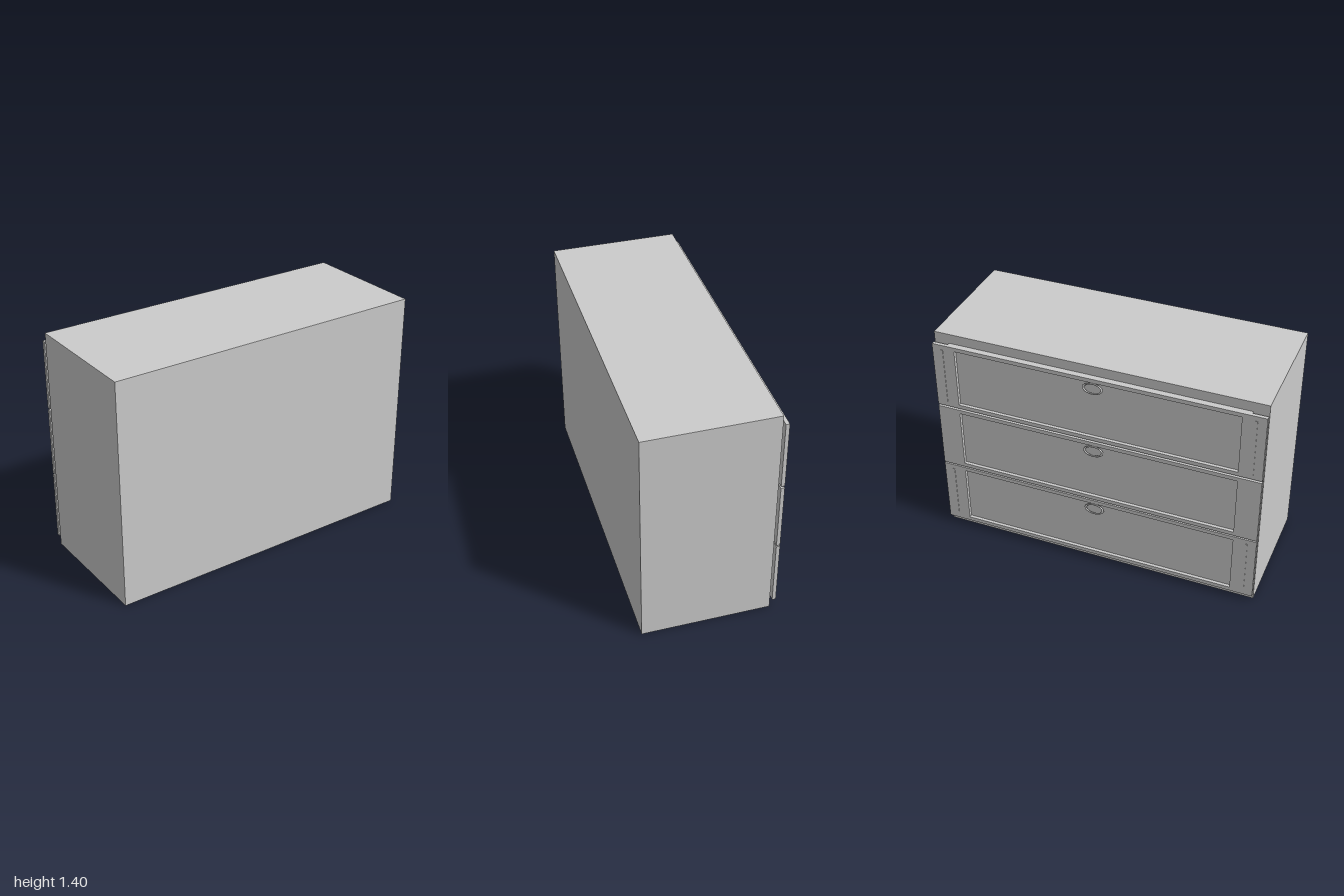
import * as THREE from 'three';

const material = new THREE.MeshStandardMaterial({ color: 0xcccccc });

function box(name, w, h, d, x, y, z) {
  const mesh = new THREE.Mesh(new THREE.BoxGeometry(w, h, d), material);
  mesh.name = name;
  mesh.position.set(x, y, z);
  return mesh;
}

function rectangle(target, x0, y0, x1, y1) {
  target.moveTo(x0, y0);
  target.lineTo(x1, y0);
  target.lineTo(x1, y1);
  target.lineTo(x0, y1);
  target.closePath();
  return target;
}

// Oval ring pull hanging slightly outwards from a small post
function createPull() {
  const pull = new THREE.Group();
  pull.name = 'ringPull';
  const ring = new THREE.Mesh(new THREE.TorusGeometry(0.055, 0.007, 8, 32), material);
  ring.name = 'ring';
  ring.scale.set(1, 0.56, 0.8);
  ring.rotation.x = 0.12;
  ring.position.z = -0.404;
  const post = new THREE.Mesh(new THREE.CylinderGeometry(0.007, 0.007, 0.025, 10), material);
  post.name = 'post';
  post.rotation.x = Math.PI / 2;
  post.position.set(0, 0.031, -0.39);
  pull.add(ring, post);
  return pull;
}

// Framed drawer front: recessed panel, narrow rails, wide stiles
function createDrawer(height, grooved) {
  const drawer = new THREE.Group();
  drawer.name = 'drawer';
  const h = height / 2;
  drawer.add(box('panel', 1.82, height, 0.02, 0, 0, -0.37));

  const outline = rectangle(new THREE.Shape(), -1, -h, 1, h);
  outline.holes.push(rectangle(new THREE.Path(), -0.86, -h + 0.025, 0.86, h - 0.025));
  const geometry = new THREE.ExtrudeGeometry(outline, { depth: 0.022, bevelEnabled: false });
  const frame = new THREE.Mesh(geometry, material);
  frame.name = 'frame';
  frame.position.z = -0.4;
  drawer.add(frame);

  // Slim vertical beads on the stiles
  if (grooved) {
    for (const side of [-1, 1]) {
      drawer.add(box('stileBead', 0.014, height - 0.06, 0.006, side * 0.94, 0, -0.4));
    }
  }

  const pull = createPull();
  pull.position.y = h - 0.06;
  drawer.add(pull);
  return drawer;
}

export function createModel() {
  const model = new THREE.Group();
  model.name = 'chestOfDrawers';
  model.add(box('cabinet', 2, 1.404, 0.775, 0, 0.702, 0.025));

  // Three stacked drawers on the -z side
  [0.262, 0.695, 1.132].forEach((y, i) => {
    const drawer = createDrawer(0.424, i !== 1);
    drawer.position.y = y;
    model.add(drawer);
  });
  return model;
}
